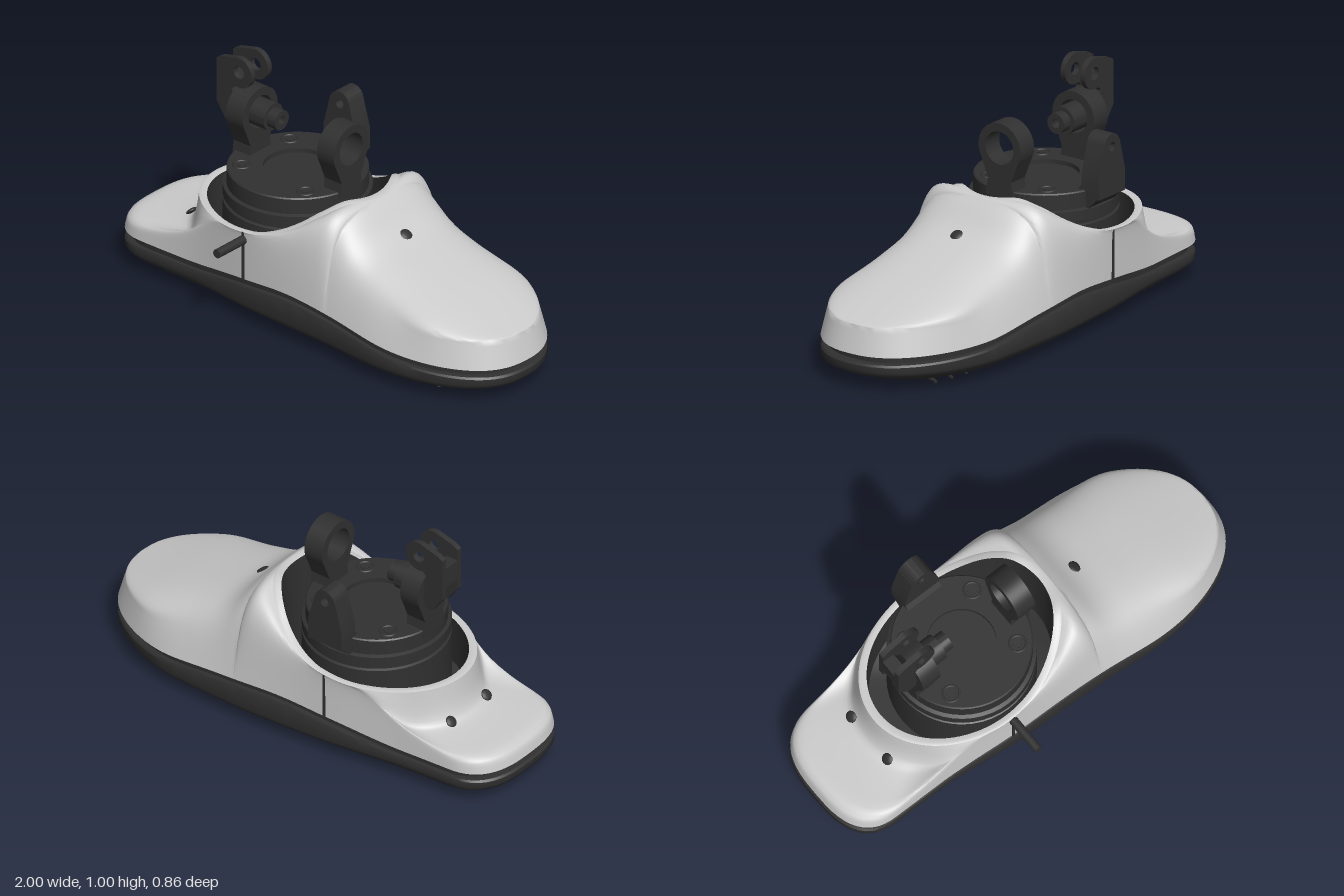
import * as THREE from 'three';
import { mergeVertices, toCreasedNormals } from 'three/addons/utils/BufferGeometryUtils.js';

const shellMat = new THREE.MeshStandardMaterial({ color: 0xcccccc, side: THREE.DoubleSide });
const darkMat = new THREE.MeshStandardMaterial({ color: 0x303030, side: THREE.DoubleSide });
const { lerp, smoothstep } = THREE.MathUtils;

// Smooth monotone curve through [x, y] points
function curve(...p) {
  const d = p.slice(1).map((q, i) => (q[1] - p[i][1]) / (q[0] - p[i][0]));
  const m = p.map((_, i) => {
    if (i === 0) return d[0];
    if (i === d.length) return d[i - 1];
    return d[i - 1] * d[i] <= 0 ? 0 : (2 * d[i - 1] * d[i]) / (d[i - 1] + d[i]);
  });
  return (x) => {
    if (x <= p[0][0]) return p[0][1];
    if (x >= p[d.length][0]) return p[d.length][1];
    let i = 0;
    while (x > p[i + 1][0]) i++;
    const h = p[i + 1][0] - p[i][0], t = (x - p[i][0]) / h, t2 = t * t, t3 = t2 * t;
    return (2 * t3 - 3 * t2 + 1) * p[i][1] + (t3 - 2 * t2 + t) * h * m[i]
      + (3 * t2 - 2 * t3) * p[i + 1][1] + (t3 - t2) * h * m[i + 1];
  };
}

// Surface through a list of columns of [x, y, z]
function loft(cols) {
  const n = cols[0].length, index = [];
  for (let i = 0; i < cols.length - 1; i++)
    for (let j = 0; j < n - 1; j++) {
      const a = i * n + j, b = a + n;
      index.push(a, a + 1, b + 1, a, b + 1, b);
    }
  let g = new THREE.BufferGeometry();
  g.setAttribute('position', new THREE.Float32BufferAttribute(cols.flat(2), 3));
  g.setIndex(index);
  g = mergeVertices(g, 1e-4);
  g.computeVertexNormals();
  return g;
}

// Footprint and height rules
const zMax = curve([-1, .235], [-.6, .235], [-.2, .27], [.2, .285], [.5, .305], [1, .275]);
const zMin = curve([-1, -.32], [-.6, -.35], [-.2, -.405], [.2, -.43], [.5, -.425], [1, -.34]);
const mid = (x) => (zMax(x) + zMin(x)) / 2;
const base = curve([-1, .15], [-.6, .153], [-.25, .195], [0, .215], [.25, .2], [.6, .165], [1, .15]);
const ridge = curve([.2, .592], [.23, .565], [.3, .495], [.36, .457], [.45, .425], [.7, .35], [1, .265]);
const rim = curve([-.68, .4], [-.4, .4], [-.2, .415], [-.1, .445], [0, .495], [.1, .565], [.165, .6], [.2, .592]);
function edge(x, side) {
  let k = 1;
  if (x < -.8) k = Math.max(0, 1 - ((-x - .8) / .2) ** 2.6) ** .36;
  if (x > .4) k = Math.max(0, 1 - ((x - .4) / .6) ** 3.2) ** .42;
  return mid(x) + side * k * (zMax(x) - zMin(x)) / 2;
}

const AX = -.24, AZ = -.07, RX = .44, RZ = .343; // ankle opening

// Section profiles from sole edge (t = 0) to top (t = 1), as [inward, height] fractions
const sHeel = curve([0, 0], [.2, .04], [.3, .15], [.5, .55], [.7, .85], [.85, .95], [1, 1]);
const yHeel = curve([0, 0], [.2, .2], [.3, .27], [.5, .3], [.7, .35], [.85, .6], [1, 1]);
const heelProfile = (t) => [sHeel(t), yHeel(t)];
function domeProfile(t) {
  const q = t * Math.PI / 2, v = Math.sin(q) ** .75;
  return [1 - (1 - .06 * Math.sin(v * Math.PI)) * Math.max(0, Math.cos(q)) ** .67, v];
}
function toeProfile(t, wall) {
  if (t <= 1 / 3) return [.21 * t, wall * 3 * t];
  const q = (t - 1 / 3) * 1.5 * Math.PI / 2;
  return [.07 + .93 * (1 - Math.max(0, Math.cos(q)) ** .75), wall + (1 - wall) * Math.sin(q) ** .85];
}

function shellColumns() {
  const N = 18, toe = [], front = [], heel = [];
  const column = (fx, fz, cx, cz, top, w, other) => Array.from({ length: N + 1 }, (_, j) => {
    const a = domeProfile(j / N), b = other(j / N);
    const s = lerp(a[0], b[0], w), v = lerp(a[1], b[1], w);
    return [fx + (cx - fx) * s, base(fx) + (top - base(fx)) * v, fz + (cz - fz) * s];
  });
  const side = (sg) => {
    const t = [], f = [];
    for (let i = 0; i <= 36; i++) {
      const x = .6 + .4 * Math.cos(i / 36 * Math.PI);
      const wall = Math.min(.98, .113 / (ridge(x) - base(x)));
      const col = column(x, edge(x, sg), x, mid(x), ridge(x), smoothstep(x, .45, .75), (u) => toeProfile(u, wall));
      // the toe wall leans back
      const lean = .03 * smoothstep(x, .6, 1);
      t.push(col.map(([px, y, z]) => [px - lean * Math.min(1, (y - base(x)) / .113), y, z]));
    }
    for (let i = 0; i <= 20; i++) {
      const q = i / 20 * Math.PI / 2, x = AX + RX * Math.cos(q);
      f.push(column(x, edge(x, sg), x, AZ + sg * RZ * Math.sin(q), rim(x), 0, domeProfile));
    }
    return [t, f];
  };
  const [tl, fl] = side(1), [tr, fr] = side(-1);
  for (let i = 1; i < 56; i++) {
    const q = Math.PI / 2 - i / 56 * Math.PI, c = Math.cos(q);
    const fx = AX - .76 * c, cx = AX - RX * c;
    heel.push(column(fx, edge(fx, q > 0 ? 1 : -1), cx, AZ + RZ * Math.sin(q), rim(cx),
      smoothstep(c, .2, .85), heelProfile));
  }
  toe.push(...tl);
  front.push(...fl, ...heel, ...fr.reverse());
  return { all: [...toe, ...front, ...tr.reverse()], collar: front.map((c) => c[N]) };
}

export function createModel() {
  const model = new THREE.Group();
  const add = (name, geo, mat = darkMat, x = 0, y = 0, z = 0) => {
    const m = new THREE.Mesh(geo, mat);
    m.name = name;
    m.position.set(x, y, z);
    model.add(m);
  };
  const extrude = (shape, depth) => toCreasedNormals(
    new THREE.ExtrudeGeometry(shape, { depth, bevelEnabled: false, curveSegments: 20 }), .5);
  const hole = (shape, x, y, r) => shape.holes.push(new THREE.Path().absarc(x, y, r, 0, Math.PI * 2, true));

  // Upper shell, its rolled rim and the lining
  const { all, collar } = shellColumns();
  add('upperShell', toCreasedNormals(loft(all), .95), shellMat);
  const inward = ([x, y, z], k, h = y) => [AX + (x - AX) * k, h, AZ + (z - AZ) * k];
  add('collarRim', loft(collar.map((p) => [p, inward(p, .97, p[1] + .004), inward(p, .92)])), shellMat);
  add('lining', loft(collar.map((p) => [inward(p, .92), inward(p, .915, p[1] - .06), inward(p, .9, .2)])));

  // Sole: insets of the footprint stacked from the bottom up
  const rings = [[.2, .008], [.17, .008], [.13, .022], [.1, .048], [.03, .058], [.008, .07], [0, .085],
    [0, .108, 1], [.008, .116, 1], [.035, .118, 1], [.035, .146, 1], [.004, .15, 1], [.3, .152, 1]];
  const soleCols = [];
  for (let i = 0; i <= 120; i++) {
    const q = i / 120 * Math.PI * 2, x = Math.cos(q), z = edge(x, Math.sin(q) >= 0 ? 1 : -1);
    const col = rings.map(([k, y, f = 0]) =>
      [x * (1 - k), y + f * (base(x) - .15), mid(x) + (z - mid(x)) * (1 - k * 1.6)]);
    soleCols.push([[x * .75, .008, mid(x)], ...col, [x * .6, base(x), mid(x)]]);
  }
  add('sole', toCreasedNormals(loft(soleCols), .6));

  // Wavy tread ribs
  for (let i = 0; i < 19; i++) {
    const x = -.72 + i * .08, pts = [];
    for (let j = 0; j <= 8; j++) {
      const u = j / 4 - 1;
      pts.push(new THREE.Vector3(x + .022 * Math.sin(u * 4), .008, mid(x) + u * .66 * (edge(x, 1) - mid(x))));
    }
    add('treadRib', new THREE.TubeGeometry(new THREE.CatmullRomCurve3(pts), 24, .008, 6));
  }

  // Side seams, cable and small ports
  for (const z of [edge(AX, 1), edge(AX, -1)])
    add('seam', new THREE.BoxGeometry(.009, .215, .014), darkMat, AX, .303, z);
  add('cable', new THREE.CylinderGeometry(.019, .019, .2, 16).rotateX(Math.PI / 2), darkMat, AX, .375, .33);
  add('toePort', new THREE.SphereGeometry(.028, 12, 8).scale(1, .35, 1).rotateZ(-.6), darkMat, .335, .468, -.06);
  for (const z of [-.18, .05])
    add('heelPort', new THREE.SphereGeometry(.025, 12, 8).scale(1, .35, 1).rotateZ(.75), darkMat, -.708, .252, z);

  // Ankle turntable with bolts
  const profile = [[.3, .17], [.3, .44], [.29, .445], [.29, .455], [.3, .46], [.3, .505], [.285, .51], [.285, .575],
    [.28, .58], [.14, .58], [.14, .562], [0, .562]].map((p) => new THREE.Vector2(...p));
  add('turntable', toCreasedNormals(new THREE.LatheGeometry(profile, 48), .5), darkMat, AX, 0, -.06);
  for (const sx of [-1, 1]) for (const sz of [-1, 1]) {
    const x = AX + sx * .17, z = -.06 + sz * .145;
    add('boltSeat', new THREE.TorusGeometry(.034, .006, 8, 20).rotateX(Math.PI / 2), darkMat, x, .578, z);
    add('bolt', new THREE.CylinderGeometry(.02, .02, .012, 6), darkMat, x, .578, z);
  }

  // Two facing bearing brackets
  const ear = new THREE.Shape();
  ear.moveTo(-.068, .55).lineTo(-.058, .62).lineTo(-.09, .7);
  ear.absarc(0, .755, .105, Math.PI + .4, -.4, true);
  ear.lineTo(.09, .7).lineTo(.058, .62).lineTo(.068, .55);
  hole(ear, 0, .755, .07);
  for (const x of [-.435, .048])
    add('bearingBracket', extrude(ear, .09).rotateY(-Math.PI / 2), darkMat, x, 0, -.055);

  // Hollow pivot pin carried by the rear bracket
  const pin = (r, bore, len, x) => {
    const s = new THREE.Shape().absarc(0, 0, r, 0, Math.PI * 2);
    hole(s, 0, 0, bore);
    add('pivotPin', extrude(s, len).rotateY(Math.PI / 2), darkMat, x, .755, -.055);
  };
  pin(.058, .018, .17, -.535);
  pin(.042, .018, .05, -.37);

  // Side lug with gusset down to the turntable
  const lug = new THREE.Shape();
  lug.moveTo(-.085, .55).lineTo(-.085, .64).lineTo(-.05, .775);
  lug.absarc(0, .76, .05, Math.PI - .3, .3, true);
  lug.lineTo(.085, .64).lineTo(.085, .55);
  hole(lug, 0, .755, .02);
  add('sideLug', extrude(lug, .088), darkMat, AX, 0, -.4);
  const gusset = new THREE.Shape();
  gusset.moveTo(-.4, .56).lineTo(-.345, .505).lineTo(-.25, .505).lineTo(-.25, .58).lineTo(-.295, .58)
    .lineTo(-.312, .6).lineTo(-.4, .6);
  add('lugGusset', extrude(gusset, .17).rotateY(-Math.PI / 2), darkMat, AX + .085, 0, 0);

  // Clevis: two hooked plates joined by a bridge
  const plate = new THREE.Shape();
  plate.moveTo(-.565, .7).lineTo(-.615, .77).lineTo(-.615, .96).lineTo(-.59, .975).lineTo(-.52, .993);
  plate.absarc(-.495, .932, .066, 1.95, -1.9, true);
  plate.lineTo(-.535, .85).lineTo(-.52, .82).lineTo(-.52, .7);
  hole(plate, -.495, .932, .027);
  for (const z of [-.019, -.118])
    add('clevisPlate', extrude(plate, .024), darkMat, 0, 0, z);
  const bridge = new THREE.Shape();
  bridge.moveTo(-.615, .82).lineTo(-.615, .91).lineTo(-.56, .91).lineTo(-.53, .84).lineTo(-.52, .82);
  add('clevisBridge', extrude(bridge, .08), darkMat, 0, 0, -.097);

  return model;
}
